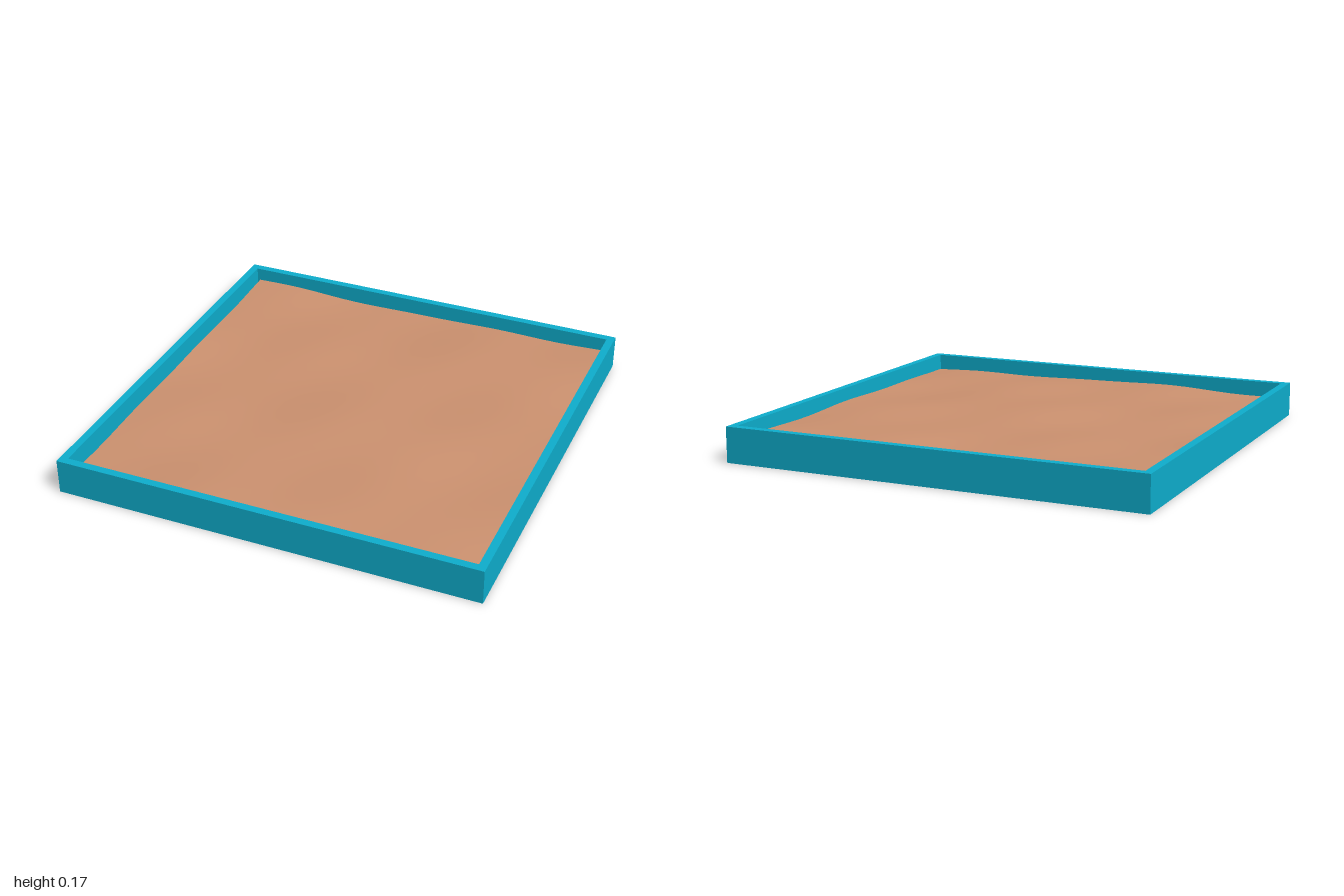
import * as THREE from 'three';

const HX = 0.995, HZ = 1.0, HEIGHT = 0.165, WALL = 0.037;

// Rectangle outline, half sizes a and b
function rect(PathType, a, b) {
  const p = new PathType();
  p.moveTo(-a, -b);
  p.lineTo(a, -b);
  p.lineTo(a, b);
  p.lineTo(-a, b);
  p.closePath();
  return p;
}

// Gentle ripples of the sand
function ripple(x, z) {
  return 0.005 * Math.sin(3.1 * x + 1.7 * z + 0.6)
    + 0.004 * Math.sin(6.3 * x - 4.9 * z + 1.9)
    + 0.003 * Math.sin(2.3 * x + 9.1 * z)
    + 0.002 * Math.cos(11 * x + 5 * z);
}

export function createModel() {
  const model = new THREE.Group();
  model.name = 'sandbox';
  const frameMat = new THREE.MeshStandardMaterial({ color: 0x0eaecd });
  const sandMat = new THREE.MeshStandardMaterial({ color: 0xcd9270, side: THREE.DoubleSide });

  // Square frame of four walls
  const outline = rect(THREE.Shape, HX, HZ);
  outline.holes.push(rect(THREE.Path, HX - WALL, HZ - WALL));
  const frameGeo = new THREE.ExtrudeGeometry(outline, { depth: HEIGHT, bevelEnabled: false });
  frameGeo.rotateX(-Math.PI / 2);
  const frame = new THREE.Mesh(frameGeo, frameMat);
  frame.name = 'frame';
  model.add(frame);

  // Floor, slightly recessed from below
  const floor = new THREE.Mesh(
    new THREE.BoxGeometry(2 * (HX - WALL), 0.02, 2 * (HZ - WALL)), frameMat);
  floor.position.y = 0.013;
  floor.name = 'floor';
  model.add(floor);

  // Rippled sand, a little smaller than the inside of the frame
  const sandGeo = new THREE.PlaneGeometry(1.89, 1.895, 24, 24);
  sandGeo.rotateX(-Math.PI / 2);
  const pos = sandGeo.attributes.position;
  for (let i = 0; i < pos.count; i++) pos.setY(i, ripple(pos.getX(i), pos.getZ(i)));
  sandGeo.computeVertexNormals();
  const sand = new THREE.Mesh(sandGeo, sandMat);
  sand.position.set(0.006, 0.1, -0.005);
  sand.name = 'sand';
  model.add(sand);

  return model;
}
